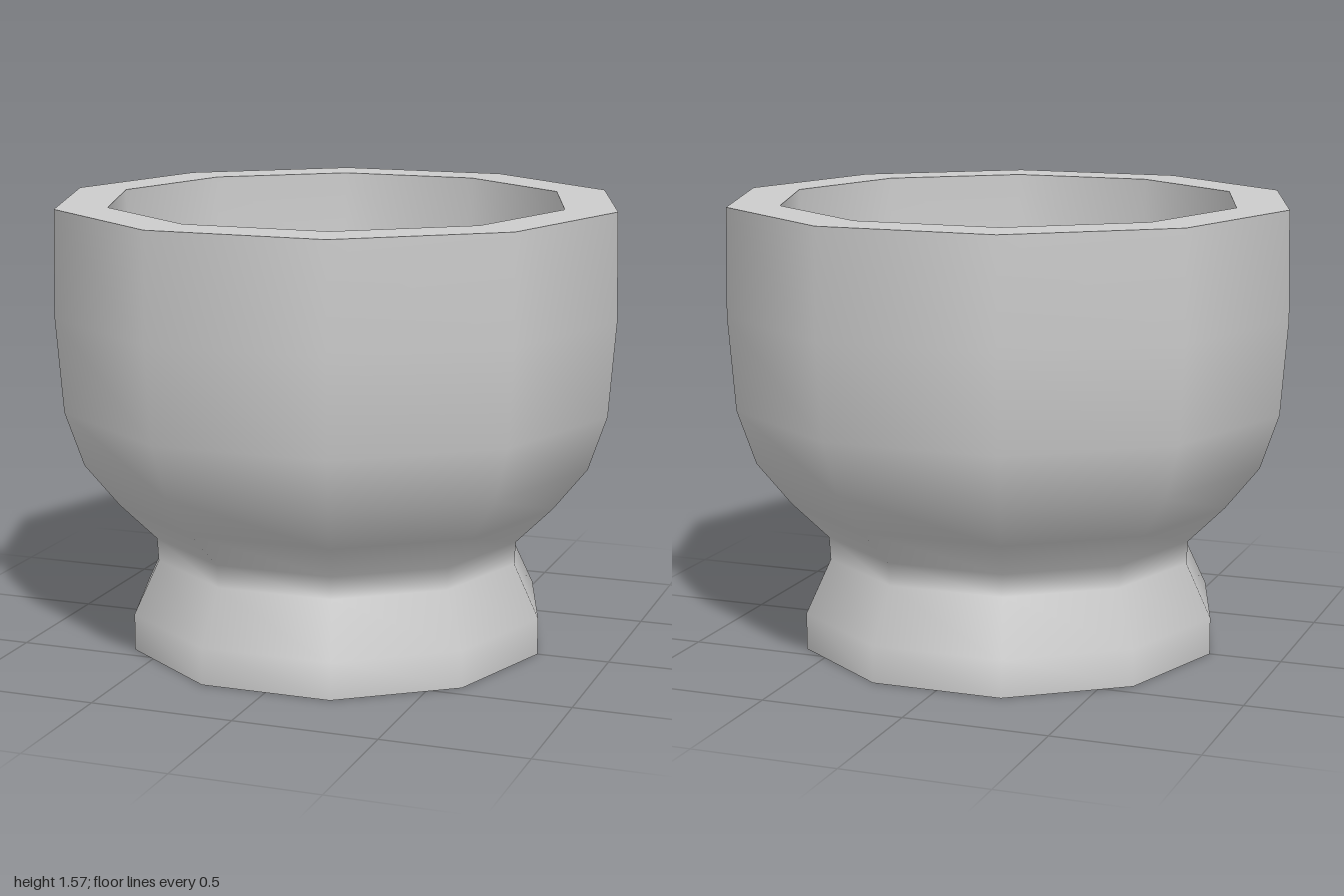
import * as THREE from 'three';

const SIDES = 10;

export function createModel() {
  const group = new THREE.Group();
  group.name = 'bowl';
  const material = new THREE.MeshStandardMaterial({ color: 0xcccccc });

  // Ten-sided revolve with a corner on the x axis; separate bands keep the rim edges sharp
  const addBand = (name, profile) => {
    const points = profile.map(([r, y]) => new THREE.Vector2(r, y));
    const mesh = new THREE.Mesh(new THREE.LatheGeometry(points, SIDES, Math.PI / 2), material);
    mesh.name = name;
    group.add(mesh);
  };

  // Flat underside
  addBand('underside', [[0, 0], [0.745, 0]]);

  // Flared foot, narrow waist and rounded outer wall
  addBand('outerWall', [
    [0.745, 0], [0.745, 0.13], [0.655, 0.32], [0.66, 0.4], [0.79, 0.53],
    [0.91, 0.68], [0.975, 0.87], [1, 1.2], [0.993, 1.57],
  ]);

  // Flat thick rim
  addBand('rim', [[0.993, 1.57], [0.81, 1.57]]);

  // Hollow inside, from the rim down to the floor
  addBand('innerWall', [
    [0.81, 1.57], [0.805, 1.2], [0.77, 0.96], [0.69, 0.79],
    [0.52, 0.66], [0.27, 0.59], [0, 0.57],
  ]);

  return group;
}
